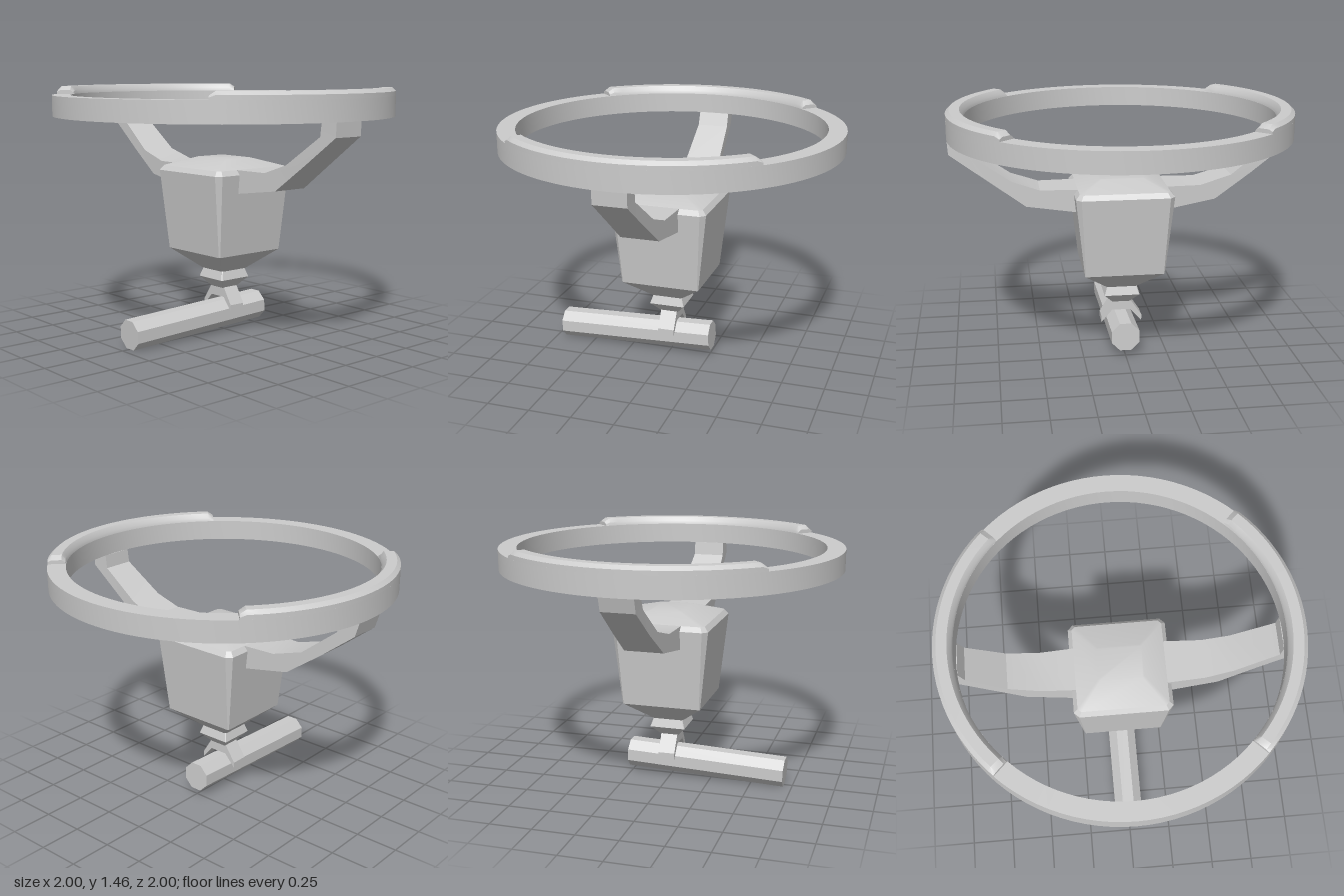
import * as THREE from 'three';
import { toCreasedNormals } from 'three/addons/utils/BufferGeometryUtils.js';

const material = new THREE.MeshStandardMaterial({ color: 0xcccccc });

function part(name, geometry, crease = 0.5) {
  const mesh = new THREE.Mesh(toCreasedNormals(geometry, crease), material);
  mesh.name = name;
  return mesh;
}

// Skin a row of sections (points counter-clockwise about the travel direction) and cap both ends.
function loft(sections) {
  const n = sections[0].length;
  const index = [];
  for (let i = 0; i < sections.length - 1; i++) {
    for (let j = 0; j < n; j++) {
      const a = i * n + j, b = i * n + (j + 1) % n;
      index.push(a, b, b + n, a, b + n, a + n);
    }
  }
  const last = (sections.length - 1) * n;
  for (let j = 1; j < n - 1; j++) {
    index.push(0, j + 1, j, last, last + j, last + j + 1);
  }
  const geometry = new THREE.BufferGeometry();
  geometry.setAttribute('position', new THREE.Float32BufferAttribute(sections.flat(2), 3));
  geometry.setIndex(index);
  return geometry;
}

// Horizontal rectangle with cut corners.
function cutRect(y, hx, hz, c) {
  return [
    [hx, hz - c], [hx - c, hz], [c - hx, hz], [-hx, hz - c],
    [-hx, c - hz], [c - hx, -hz], [hx - c, -hz], [hx, c - hz],
  ].map(([u, v]) => [u, y, -v]);
}

// Raised arc on the rim with sloped ends, centred on +x.
function gripGeometry() {
  const profile = [[0.895, 1.42], [1, 1.42], [1, 1.445], [0.978, 1.465], [0.92, 1.465], [0.9, 1.44]];
  const section = (degrees, height) => {
    const a = THREE.MathUtils.degToRad(degrees);
    return profile.map(([r, y]) => [r * Math.cos(a), 1.42 + (y - 1.42) * height, r * Math.sin(a)]);
  };
  const sections = [section(-45, 0.5)];
  for (let i = 0; i <= 24; i++) sections.push(section(-43 + 86 * i / 24, 1));
  sections.push(section(45, 0.5));
  return loft(sections);
}

// Bent arm along +x; rows are lower x, lower y, upper x, upper y.
function spokeGeometry(rows) {
  const halfWidth = (x) => THREE.MathUtils.clamp(0.127 - (x - 0.28) * 0.052, 0.095, 0.13);
  return loft(rows.map(([xl, yl, xu, yu]) => {
    const l = halfWidth(xl), u = halfWidth(xu);
    return [[xl, yl, -l], [xu, yu, -u], [xu, yu, u], [xl, yl, l]];
  }));
}

export function createModel() {
  const model = new THREE.Group();
  model.name = 'steeringWheel';

  // Rim
  const rimProfile = [[0.895, 1.3], [1, 1.3], [1, 1.42], [0.895, 1.42], [0.895, 1.3]]
    .map(([r, y]) => new THREE.Vector2(r, y));
  model.add(part('rim', new THREE.LatheGeometry(rimProfile, 96)));

  // Grips on both sides
  const leftGrip = part('leftGrip', gripGeometry());
  const rightGrip = part('rightGrip', gripGeometry());
  rightGrip.rotation.y = Math.PI;
  model.add(leftGrip, rightGrip);

  // Spokes, bent slightly differently on each side
  const leftSpoke = part('leftSpoke', spokeGeometry([
    [0.24, 0.86, 0.24, 1.0], [0.285, 0.867, 0.285, 1.0], [0.56, 0.905, 0.48, 1.0],
    [0.78, 1.065, 0.64, 1.055], [0.99, 1.22, 0.88, 1.22], [0.995, 1.3, 0.89, 1.3],
  ]), 0.3);
  const rightSpoke = part('rightSpoke', spokeGeometry([
    [0.24, 0.86, 0.24, 1.0], [0.285, 0.867, 0.285, 1.0], [0.55, 0.913, 0.46, 1.0],
    [0.76, 1.06, 0.645, 1.055], [0.97, 1.22, 0.86, 1.22], [0.995, 1.3, 0.89, 1.3],
  ]), 0.3);
  rightSpoke.rotation.y = Math.PI;
  model.add(leftSpoke, rightSpoke);

  // Hub: tapered box with a low raised top
  model.add(part('hub', loft([
    cutRect(0.38, 0.095, 0.095, 0.01),
    cutRect(0.5, 0.235, 0.235, 0.006),
    cutRect(0.972, 0.285, 0.285, 0.03),
    cutRect(1.0, 0.262, 0.262, 0.02),
    cutRect(1.05, 0.13, 0.1, 0.01),
  ])));

  // Neck: flared square collar
  model.add(part('neck', loft([
    cutRect(0.27, 0.055, 0.055, 0.004),
    cutRect(0.328, 0.106, 0.106, 0.004),
    cutRect(0.385, 0.088, 0.088, 0.004),
  ]), 0.3));

  // Forked bracket over the shaft
  const fork = new THREE.Shape([
    [-0.055, 0.278], [-0.125, 0.175], [-0.125, 0.138], [-0.055, 0.215],
    [0.055, 0.215], [0.12, 0.138], [0.12, 0.175], [0.055, 0.278],
  ].map(([x, y]) => new THREE.Vector2(x, y)));
  const bracketGeometry = new THREE.ExtrudeGeometry(fork, { depth: 0.1, bevelEnabled: false });
  bracketGeometry.translate(0, 0, -0.05);
  model.add(part('bracket', bracketGeometry, 0.3));

  // Eight-sided shaft, tilted slightly down to the front
  const shaftGeometry = new THREE.CylinderGeometry(0.09, 0.09, 0.96, 8);
  shaftGeometry.rotateY(Math.PI / 8);
  shaftGeometry.rotateX(Math.PI / 2);
  const shaft = part('shaft', shaftGeometry, 0.3);
  shaft.position.set(0, 0.103, 0.222);
  shaft.rotation.x = Math.atan2(0.037, 0.96);
  model.add(shaft);

  return model;
}
